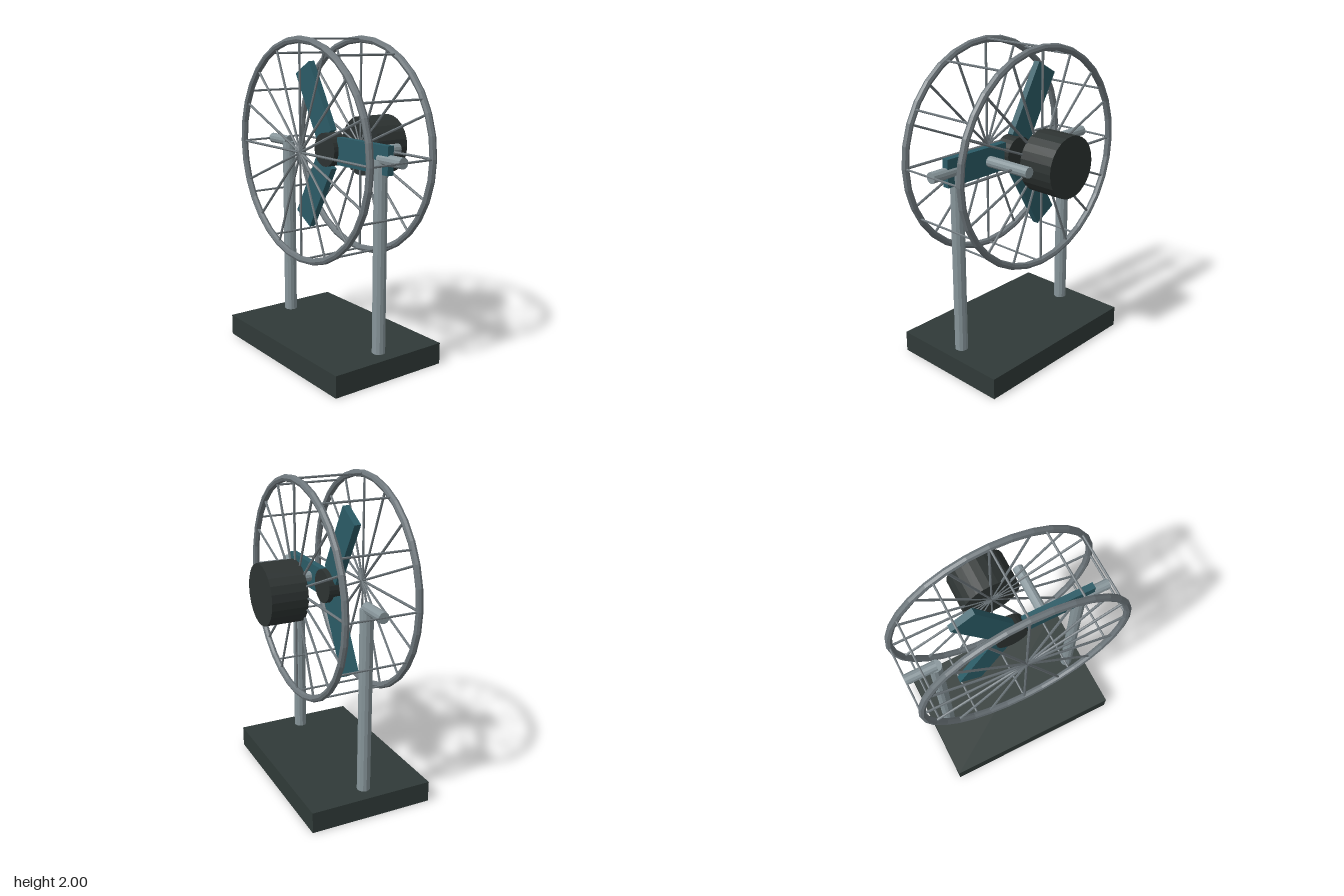
import * as THREE from 'three';

const AXIS_Y = 1.31;   // height of the fan axis
const MID_Z = 0.027;   // plane of blades and posts

const material = (name, color) => {
  const m = new THREE.MeshStandardMaterial({ color });
  m.name = name;
  return m;
};

// Faceted normals for the low-poly round parts
const faceted = (geometry) => {
  const g = geometry.toNonIndexed();
  g.computeVertexNormals();
  return g;
};

export function createModel() {
  const model = new THREE.Group();
  model.name = 'cagedFan';

  const dark = material('charcoal', 0x303a38);
  const motorDark = material('motorBlack', 0x2d3332);
  const steel = material('paleSteel', 0x87959a);
  const wire = material('cageGrey', 0x6d767b);
  const teal = material('bladeTeal', 0x2b5b66);

  const add = (parent, name, geometry, mat, x = 0, y = 0, z = 0) => {
    const mesh = new THREE.Mesh(geometry, mat);
    mesh.name = name;
    mesh.position.set(x, y, z);
    parent.add(mesh);
    return mesh;
  };
  // Cylinder along the chosen axis
  const rod = (radius, length, axis, sides) => {
    const g = new THREE.CylinderGeometry(radius, radius, length, sides);
    if (axis === 'x') g.rotateZ(Math.PI / 2);
    if (axis === 'z') g.rotateX(Math.PI / 2);
    return faceted(g);
  };

  // Base slab
  add(model, 'base', new THREE.BoxGeometry(1.19, 0.135, 0.8), dark, 0, 0.0675, 0.03);

  // Two posts with side stubs
  for (const s of [-1, 1]) {
    add(model, 'post', rod(0.041, 1.17, 'y', 12), steel, s * 0.48, 0.72, MID_Z);
    add(model, 'sideStub', rod(0.034, 0.2, 'x', 12), steel, s * 0.575, AXIS_Y, MID_Z);
  }

  // Everything centred on the fan axis
  const fan = new THREE.Group();
  fan.name = 'fan';
  fan.position.y = AXIS_Y;
  model.add(fan);

  // Motor, hub and rear bracket rod
  add(fan, 'motor', rod(0.19, 0.23, 'z', 24), motorDark, 0, 0, -0.315);
  add(fan, 'hub', rod(0.105, 0.106, 'z', 24), motorDark, 0, 0, MID_Z);
  add(fan, 'bracketRod', rod(0.034, 0.315, 'z', 12), steel, 0.235, 0, -0.158);

  // Three flat blades
  const bladeGeometry = new THREE.BoxGeometry(0.476, 0.17, 0.042);
  bladeGeometry.translate(0.328, 0, 0);
  for (let i = 0; i < 3; i++) {
    const blade = add(fan, 'blade', bladeGeometry, teal, 0, 0, MID_Z);
    blade.rotation.z = (i * Math.PI * 2) / 3;
  }

  // Two cage rings, each with sixteen spokes
  const ringGeometry = faceted(new THREE.TorusGeometry(0.667, 0.022, 8, 32));
  const spokeGeometry = rod(0.008, 0.667, 'x', 6);
  spokeGeometry.translate(0.3335, 0, 0);
  for (const [name, z] of [['frontGuard', 0.257], ['rearGuard', -0.203]]) {
    const guard = new THREE.Group();
    guard.name = name;
    guard.position.z = z;
    fan.add(guard);
    add(guard, 'ring', ringGeometry, wire);
    for (let i = 0; i < 16; i++) {
      add(guard, 'spoke', spokeGeometry, wire).rotation.z = (i * Math.PI) / 8;
    }
  }

  // Twelve bars joining the rings
  const barGeometry = rod(0.007, 0.46, 'z', 6);
  for (let i = 0; i < 12; i++) {
    const a = (i * Math.PI) / 6;
    add(fan, 'crossBar', barGeometry, wire, 0.67 * Math.cos(a), 0.67 * Math.sin(a), MID_Z);
  }

  return model;
}
